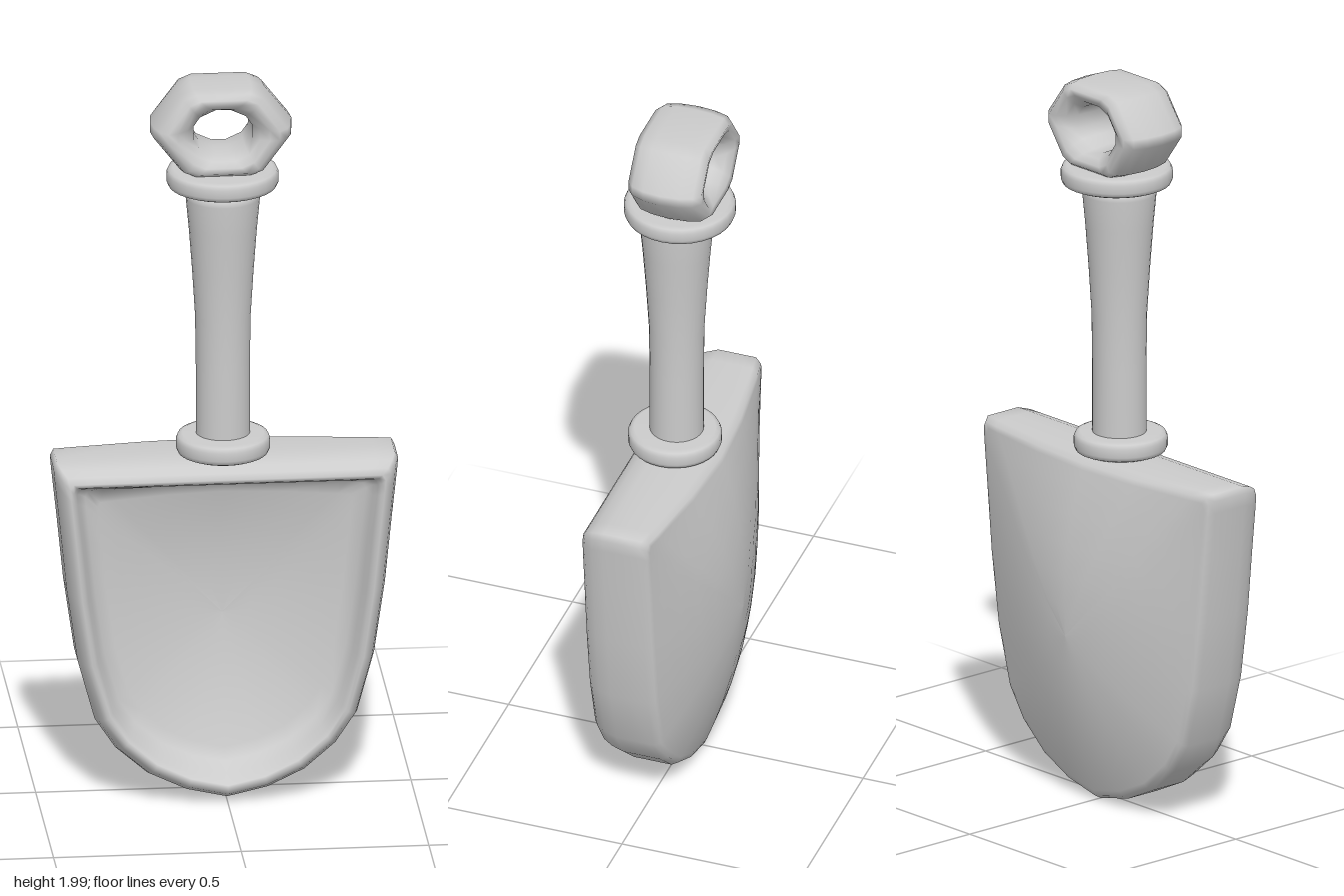
import * as THREE from 'three';

const material = new THREE.MeshStandardMaterial({ color: 0xcccccc });

// Smooth skin over equal-length loops, each counter-clockwise seen from +z
function skin(loops, closed = false) {
  const n = loops[0].length, rows = closed ? loops.length : loops.length - 1;
  const index = [];
  for (let i = 0; i < rows; i++) {
    const k = (i + 1) % loops.length;
    for (let j = 0; j < n; j++) {
      const m = (j + 1) % n;
      const a = i * n + j, b = i * n + m, c = k * n + m, d = k * n + j;
      index.push(a, b, c, a, c, d);
    }
  }
  const g = new THREE.BufferGeometry();
  g.setAttribute('position', new THREE.Float32BufferAttribute(loops.flat(2), 3));
  g.setIndex(index);
  g.computeVertexNormals();
  return g;
}

function addMesh(group, name, geometry, x = 0, y = 0, z = 0) {
  const mesh = new THREE.Mesh(geometry, material);
  mesh.name = name;
  mesh.position.set(x, y, z);
  group.add(mesh);
}

const lathe = (points) =>
  new THREE.LatheGeometry(points.map(([r, y]) => new THREE.Vector2(r, y)), 32);

// Right half of the blade outline, from the tip up to the top centre
const half = [
  [0, 0.005], [0.11, 0.03], [0.21, 0.078], [0.295, 0.152], [0.35, 0.235], [0.395, 0.4],
  [0.424, 0.6], [0.442, 0.78], [0.456, 0.91], [0.459, 0.945], [0.45, 0.962],
  [0.4, 0.962], [0.2, 0.962], [0, 0.962],
];
const outline = [...half, ...half.slice(1, -1).reverse().map(([x, y]) => [-x, y])];

// Half width of the blade at a height
function halfWidth(y) {
  for (let i = 0; i < 9; i++) {
    const [x0, y0] = half[i], [x1, y1] = half[i + 1];
    if (y <= y1) return x0 + (x1 - x0) * Math.max(0, (y - y0) / (y1 - y0));
  }
  return 0.459;
}

// Bulge of the back, fading towards the sides and ends
function bulge(x, y) {
  const u = Math.min(1, Math.abs(x) / Math.max(halfWidth(y), 0.01));
  const across = Math.max(0, 1.03 - (u * u + 0.04) ** 0.75) / 0.94;
  const along = 1 - ((y - 0.57) / (y > 0.57 ? 0.503 : 0.565)) ** 2;
  return 0.115 * across * Math.max(0, along);
}
const backZ = (x, y) => -0.05 - bulge(x, y);
const floorZ = (x, y) => 0.085 - 1.1 * bulge(x, y);

// Blade loop pulled in by a distance; z is a number or a rule
function bladeLoop(inset, z) {
  return outline.map(([px, py]) => {
    const x = px * (1 - inset / 0.46);
    const y = 0.485 + (py - 0.485) * (1 - inset / 0.46);
    return [x, y, typeof z === 'number' ? z : z(x, y)];
  });
}

function bladeGeometry() {
  return skin([
    // back, from the middle out
    ...[0.46, 0.38, 0.3, 0.22, 0.14, 0.07, 0.025, 0.01].map((d) => bladeLoop(d, backZ)),
    // side wall and rounded rim
    bladeLoop(0, (x, y) => backZ(x, y) + 0.015),
    ...[[0, 0.02], [0, 0.07], [0.01, 0.105], [0.024, 0.13], [0.039, 0.14],
      [0.049, 0.136], [0.058, 0.118], [0.068, 0.09]]
      .map(([d, z]) => bladeLoop(d, z)),
    // scooped floor, from the edge in
    ...[0.085, 0.12, 0.17, 0.23, 0.3, 0.38, 0.46].map((d) => bladeLoop(d, floorZ)),
  ]);
}

// Hexagon with its corners cut by a fraction of the side
function hexagon(cut) {
  const corners = [[0.19, 0], [0.1, 0.115], [-0.1, 0.115], [-0.19, 0], [-0.1, -0.115], [0.1, -0.115]];
  return corners.flatMap((p, i) => [corners[(i + 5) % 6], corners[(i + 1) % 6]]
    .map((q) => [p[0] + (q[0] - p[0]) * cut, p[1] + (q[1] - p[1]) * cut]));
}

// Hexagonal grip with a flared, rounder hole: [x scale, y scale, z, corner cut]
function gripGeometry() {
  const front = [[1.02, 1.03, 0.05, 0.12], [0.95, 1, 0.085, 0.12], [0.83, 0.9, 0.103, 0.12],
    [0.7, 0.77, 0.1, 0.16], [0.57, 0.64, 0.085, 0.22], [0.48, 0.55, 0.06, 0.3]];
  const profile = [
    [1.05, 1.04, 0, 0.12],
    ...front,
    [0.46, 0.52, 0, 0.3],
    ...front.slice().reverse().map(([sx, sy, z, cut]) => [sx, sy, -z, cut]),
  ];
  return skin(profile.map(([sx, sy, z, cut]) =>
    hexagon(cut).map(([x, y]) => [x * sx, y * sy, z])), true);
}

// Rounded disc standing on y = 0
function collar(r, h) {
  const b = h * 0.3;
  return lathe([[0, 0], [r - b, 0], [r - b * 0.3, b * 0.3], [r, b], [r, h - b],
    [r - b * 0.3, h - b * 0.3], [r - b, h], [0, h]]);
}

export function createModel() {
  const group = new THREE.Group();
  group.name = 'shovel';
  addMesh(group, 'blade', bladeGeometry());
  addMesh(group, 'lowerCollar', collar(0.125, 0.056), -0.004, 0.963, 0.032);
  addMesh(group, 'shaft', lathe([[0.072, 0.99], [0.072, 1.2], [0.074, 1.35], [0.082, 1.48],
    [0.091, 1.6], [0.099, 1.685], [0.096, 1.7], [0.086, 1.71], [0.08, 1.73]]), -0.004, 0, 0.027);
  addMesh(group, 'upperCollar', collar(0.149, 0.054), -0.004, 1.712, 0.018);
  addMesh(group, 'grip', gripGeometry(), -0.008, 1.88, 0.008);
  return group;
}
